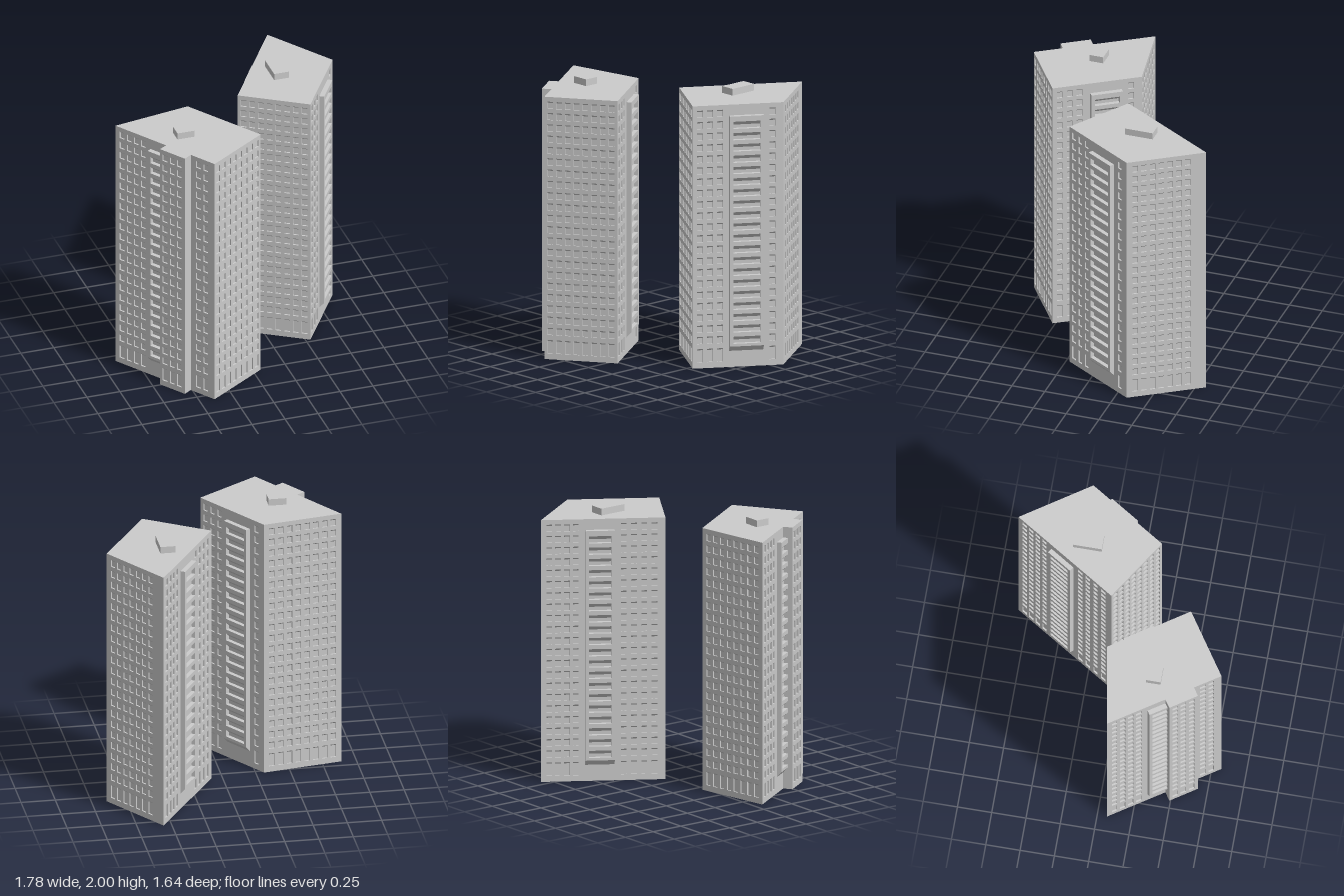
import * as THREE from 'three';
import { mergeGeometries } from 'three/addons/utils/BufferGeometryUtils.js';

const HEIGHT = 1.95;
const FLOORS = 21;
const PITCH = 0.0841;
const WINDOW_W = 0.042;
const BAY_DEPTH = 0.036;
const material = new THREE.MeshStandardMaterial({ color: 0xcccccc, flatShading: true });

// Flat quads, each given as four corners counter-clockwise from outside
function quadGeometry(quads) {
  const points = [];
  for (const [a, b, c, d] of quads) points.push(...a, ...b, ...c, ...a, ...c, ...d);
  const geometry = new THREE.BufferGeometry();
  geometry.setAttribute('position', new THREE.Float32BufferAttribute(points, 3));
  geometry.computeVertexNormals();
  return geometry;
}

// Window niche with straight jambs, level sill and a sloping head
function nicheQuads([x0, x1, y0, y1], z, depth) {
  const zb = z - depth, yb = y1 - depth * 0.95;
  const A = [x0, y0, z], B = [x1, y0, z], C = [x1, y1, z], D = [x0, y1, z];
  const a = [x0, y0, zb], b = [x1, y0, zb], c = [x1, yb, zb], d = [x0, yb, zb];
  return [[a, b, c, d], [A, B, b, a], [A, a, d, D], [b, B, C, c], [d, c, C, D]];
}

// Flat panel pierced by niches
function panelGeometry(x0, x1, y0, y1, z, openings, depth) {
  const rect = (path, l, r, b, t) => path.moveTo(l, b).lineTo(r, b).lineTo(r, t).lineTo(l, t).closePath();
  const shape = rect(new THREE.Shape(), x0, x1, y0, y1);
  for (const o of openings) shape.holes.push(rect(new THREE.Path(), ...o));
  const face = new THREE.ShapeGeometry(shape).translate(0, 0, z).toNonIndexed();
  face.deleteAttribute('uv');
  if (!openings.length) return face;
  return mergeGeometries([face, quadGeometry(openings.flatMap(o => nicheQuads(o, z, depth)))]);
}

function addMesh(parent, name, geometry) {
  const mesh = new THREE.Mesh(geometry, material);
  mesh.name = name;
  parent.add(mesh);
  return mesh;
}

const floorSpan = i => [0.18 + i * PITCH, 0.233 + i * PITCH];

// Wall with columns of windows, the lowest row taller
function wallGeometry(length, columns) {
  const openings = [];
  for (const u of columns) {
    const l = u - WINDOW_W / 2, r = u + WINDOW_W / 2;
    openings.push([l, r, 0.043, 0.143]);
    for (let i = 0; i < FLOORS; i++) openings.push([l, r, ...floorSpan(i)]);
  }
  return panelGeometry(0, length, 0, HEIGHT, 0, openings, 0.012);
}

// Projecting balcony bay: wide slots, closed ends, chamfered foot
function bayGeometry(l, r) {
  const slots = [];
  for (let i = 0; i < FLOORS - 1; i++) slots.push([l + 0.025, r - 0.025, ...floorSpan(i)]);
  const d = BAY_DEPTH, foot = 0.12, low = 0.16, top = 1.87;
  const shell = quadGeometry([
    [[l, foot, 0], [l, low, d], [l, top, d], [l, top, 0]],
    [[r, low, d], [r, foot, 0], [r, top, 0], [r, top, d]],
    [[l, top, d], [r, top, d], [r, top, 0], [l, top, 0]],
    [[l, foot, 0], [r, foot, 0], [r, low, d], [l, low, d]],
  ]);
  return mergeGeometries([panelGeometry(l, r, low, top, d, slots, 0.03), shell]);
}

// Evenly spaced column centres
const spaced = (start, step, count) => Array.from({ length: count }, (_, i) => start + i * step);

// Each side starts at a corner [x, z] and runs to the next side's corner
function buildTower(name, sides, [bx0, bx1, bz0, bz1]) {
  const tower = new THREE.Group();
  tower.name = name;
  sides.forEach(({ at, columns = [], bay }, i) => {
    const next = sides[(i + 1) % sides.length].at;
    const dx = next[0] - at[0], dz = next[1] - at[1];
    const side = new THREE.Group();
    side.name = 'side' + (i + 1);
    side.position.set(at[0], 0, at[1]);
    side.rotation.y = Math.atan2(-dz, dx);
    addMesh(side, 'windowWall', wallGeometry(Math.hypot(dx, dz), columns));
    if (bay) addMesh(side, 'balconyBay', bayGeometry(...bay));
    tower.add(side);
  });

  // Roof and underside
  const outline = flip => new THREE.Shape(sides.map(({ at }) => new THREE.Vector2(at[0], flip * at[1])));
  const roof = addMesh(tower, 'roof', new THREE.ShapeGeometry(outline(-1)).rotateX(-Math.PI / 2));
  roof.position.y = HEIGHT;
  addMesh(tower, 'underside', new THREE.ShapeGeometry(outline(1)).rotateX(Math.PI / 2));

  // Rooftop plant room
  const plant = addMesh(tower, 'roofPlantRoom', new THREE.BoxGeometry(bx1 - bx0, 0.05, bz1 - bz0));
  plant.position.set((bx0 + bx1) / 2, HEIGHT + 0.025, (bz0 + bz1) / 2);
  return tower;
}

export function createModel() {
  const model = new THREE.Group();
  model.name = 'twinTowers';

  const frontColumns = spaced(0.044, 0.0646, 8);
  const bayColumns = [0.053, 0.127, 0.2, 0.583];
  const longColumns = spaced(0.06, 0.064, 4);

  model.add(buildTower('backTower', [
    { at: [0.08, -0.065], columns: frontColumns },
    { at: [0.535, 0.225], columns: bayColumns, bay: [0.266, 0.515] },
    { at: [0.89, -0.335], columns: spaced(0.063, 0.065, 7) },
    { at: [0.56, -0.825], columns: [...longColumns, ...spaced(0.598, 0.074, 4)], bay: [0.32, 0.531] },
  ], [0.4, 0.51, -0.4, -0.19]));

  // The front tower has a full-height projection on its long side
  model.add(buildTower('frontTower', [
    { at: [-0.39, 0.82], columns: frontColumns },
    { at: [0.06, 0.52], columns: bayColumns, bay: [0.28, 0.515] },
    { at: [-0.31, -0.03], columns: spaced(0.06, 0.067, 8) },
    { at: [-0.89, 0.07], columns: longColumns, bay: [0.32, 0.53] },
    { at: [-0.635, 0.453] },
    { at: [-0.693, 0.492], columns: spaced(0.045, 0.065, 3) },
    { at: [-0.568, 0.679] },
    { at: [-0.51, 0.64], columns: [0.07, 0.135] },
  ], [-0.53, -0.4, 0.295, 0.4]));

  return model;
}
